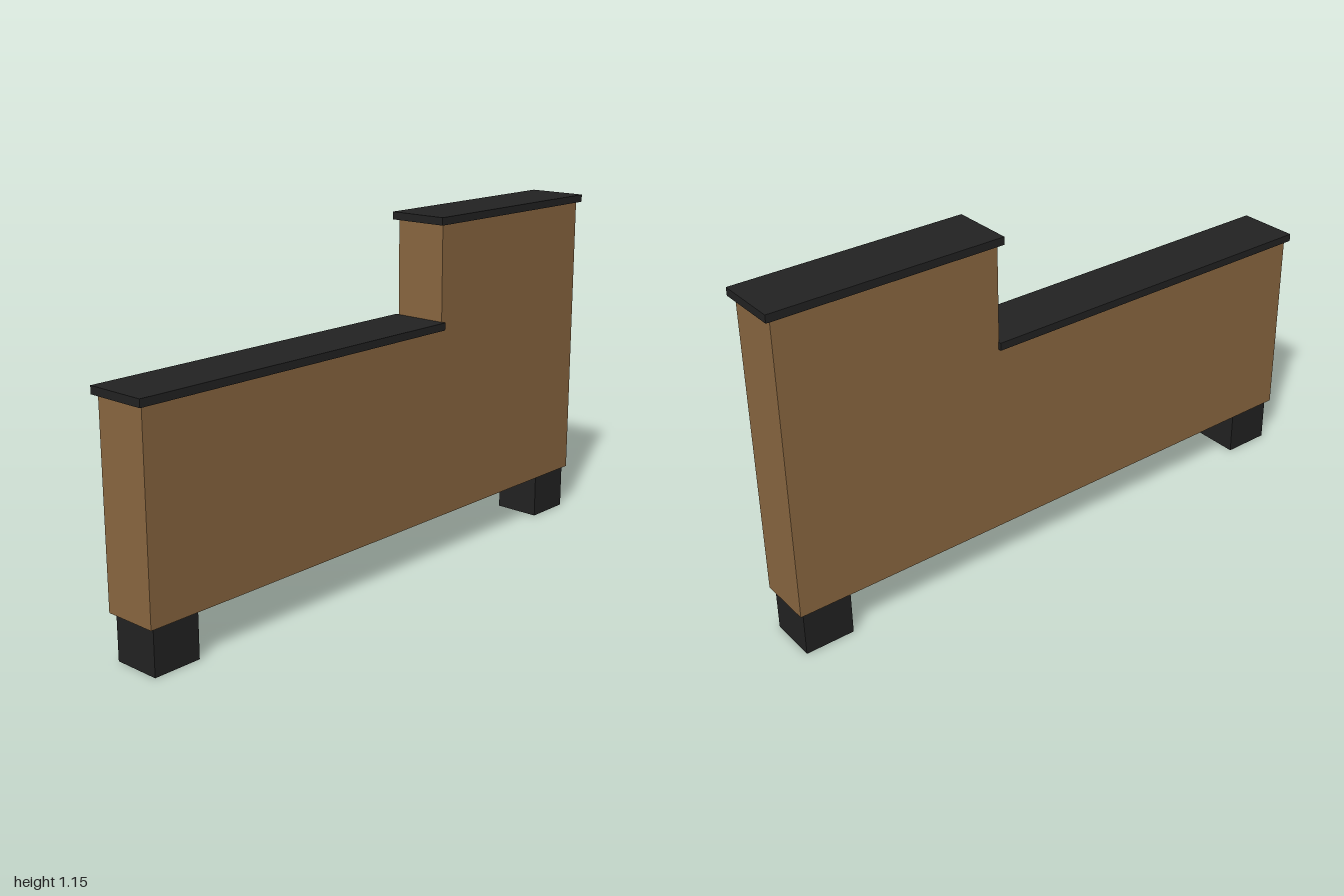
import * as THREE from 'three';

export function createModel() {
  const model = new THREE.Group();
  model.name = 'steppedPartition';

  const wood = new THREE.MeshStandardMaterial({ color: 0x8b6841 });
  wood.name = 'brown wood';
  const black = new THREE.MeshStandardMaterial({ color: 0x222222 });
  black.name = 'matte black';

  // Box given by its extents on each axis
  function addBox(name, [x0, x1], [y0, y1], [z0, z1]) {
    const mesh = new THREE.Mesh(new THREE.BoxGeometry(x1 - x0, y1 - y0, z1 - z0), black);
    mesh.position.set((x0 + x1) / 2, (y0 + y1) / 2, (z0 + z1) / 2);
    mesh.name = name;
    model.add(mesh);
  }

  // Stepped panel: side profile (shape x = -z) extruded across the width
  const width = 0.182;
  const profile = new THREE.Shape([
    [-0.985, 0.15], [0.982, 0.15], [0.982, 1.125],
    [0.245, 1.125], [0.245, 0.787], [-0.985, 0.787],
  ].map(([x, y]) => new THREE.Vector2(x, y)));
  const panelGeometry = new THREE.ExtrudeGeometry(profile, { depth: width, bevelEnabled: false });
  panelGeometry.translate(0, 0, -width / 2);
  panelGeometry.rotateY(Math.PI / 2);
  const panel = new THREE.Mesh(panelGeometry, wood);
  panel.name = 'steppedPanel';
  model.add(panel);

  // Overhanging caps on both levels
  addBox('lowerCap', [-0.103, 0.104], [0.786, 0.811], [-0.248, 1]);
  addBox('upperCap', [-0.105, 0.102], [1.125, 1.15], [-1, -0.23]);

  // Feet near both ends
  addBox('frontFoot', [-0.08, 0.08], [0, 0.15], [0.806, 0.969]);
  addBox('backFoot', [-0.08, 0.08], [0, 0.15], [-0.969, -0.806]);

  return model;
}
